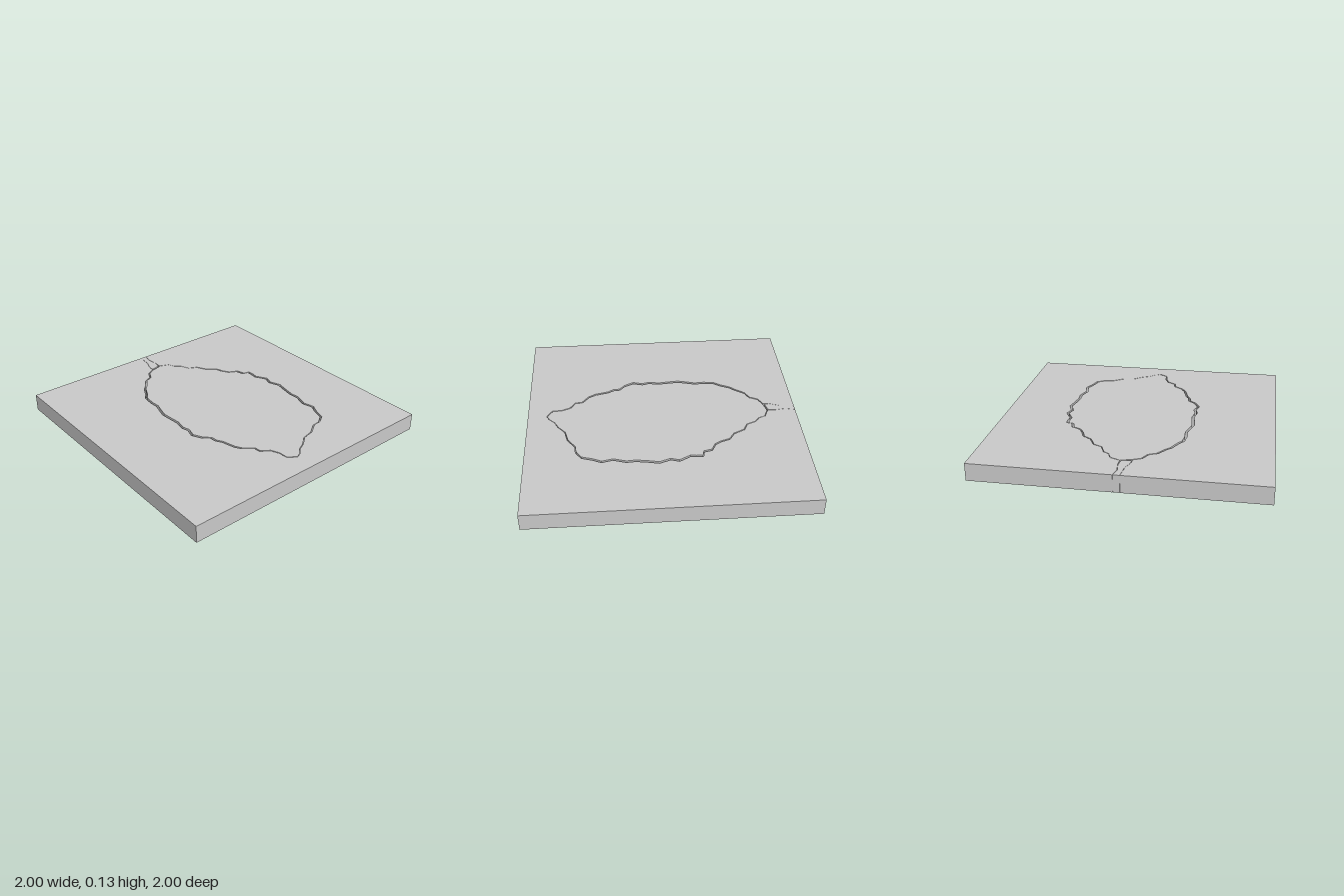
import * as THREE from 'three';

const HEIGHT = 0.126;

// Jagged fracture line seen from above as x, z pairs, one arc per shard.
const ARCS = [
  [-0.79, -0.01, -0.76, -0.08, -0.71, -0.1, -0.68, -0.14, -0.61, -0.17],
  [-0.58, -0.23, -0.5, -0.27, -0.46, -0.33, -0.4, -0.35, -0.35, -0.38, -0.32, -0.44, -0.26, -0.455, -0.25, -0.5],
  [-0.2, -0.5, -0.16, -0.495, -0.08, -0.54, -0.02, -0.52, 0.06, -0.55, 0.13, -0.535, 0.22, -0.52, 0.29, -0.525],
  [0.38, -0.495, 0.46, -0.515, 0.52, -0.485, 0.6, -0.46, 0.64, -0.4, 0.645, -0.34],
  [0.7, -0.26, 0.72, -0.17, 0.77, -0.11, 0.8, -0.05, 0.84, -0.01, 0.86, 0.03, 0.82, 0.09, 0.75, 0.095,
    0.69, 0.12, 0.65, 0.18, 0.6, 0.185, 0.55, 0.25],
  [0.5, 0.28, 0.4, 0.305, 0.36, 0.33, 0.31, 0.335, 0.27, 0.38, 0.2, 0.415, 0.13, 0.395, 0.08, 0.41, 0, 0.395],
  [-0.04, 0.4, -0.15, 0.41, -0.21, 0.395, -0.28, 0.375, -0.35, 0.38],
  [-0.43, 0.37, -0.47, 0.34, -0.55, 0.3, -0.58, 0.27, -0.65, 0.22, -0.68, 0.16, -0.74, 0.13, -0.77, 0.07],
].map((a) => a.reduce((pts, v, i) => (i % 2 ? pts : [...pts, [v, a[i + 1]]]), []));

// Junctions of the straight cracks inside the fracture line.
const P = [-0.565, -0.14], A = [-0.41, -0.065], S = [-0.265, 0.265];
const R = [-0.09, 0.29], Q = [0.27, -0.04], T = [0.35, -0.04];

// Inner corners that close each arc into a shard, from arc end back to arc start.
const INNER = [[P], [A, P], [T, Q], [T], [T], [R, Q, T], [S, R], [P, A, S]];

// Moves the fracture line in (s < 0) or out (s > 0), mostly along z, to open the gap.
const spread = (s) => ([x, z]) => [0.04 + (x - 0.04) * (1 + 0.003 * s), -0.07 + (z + 0.07) * (1 + 0.018 * s)];

function slabPiece(name, points, material) {
  const shape = new THREE.Shape(points.map(([x, z]) => new THREE.Vector2(x, -z)));
  const geometry = new THREE.ExtrudeGeometry(shape, { depth: HEIGHT, bevelEnabled: false });
  geometry.rotateX(-Math.PI / 2);
  const mesh = new THREE.Mesh(geometry, material);
  mesh.name = name;
  return mesh;
}

export function createModel() {
  const group = new THREE.Group();
  group.name = 'crackedSlab';
  const material = new THREE.MeshStandardMaterial({ color: 0xcccccc, flatShading: true });

  // Surrounding slab, cut through to the hole by the crack at the -x edge
  const rim = ARCS.flat().map(spread(1));
  const upperCrack = [[-0.85, -0.012], [-0.93, -0.001], [-1, -0.018]];
  const lowerCrack = [[-1, 0.03], [-0.94, 0.038], [-0.89, 0.042], [-0.82, 0.07]];
  group.add(slabPiece('outerSlab', [
    [-1, -1], [1, -1], [1, 1], [-1, 1], ...lowerCrack, ...[...rim].reverse(), ...upperCrack,
  ], material));

  // Sliver between the two edge cracks, a hairline clear of the slab
  const hairline = 0.002;
  group.add(slabPiece('edgeSliver', [
    ...upperCrack.map(([x, z]) => [x, z + hairline]),
    ...lowerCrack.map(([x, z]) => [x, z - hairline]),
    [-0.782, 0.068], [-0.795, 0],
  ], material));

  // Shards inside the fracture line
  const shards = new THREE.Group();
  shards.name = 'shards';
  ARCS.forEach((arc, i) => {
    const end = ARCS[(i + 1) % ARCS.length][0];
    const edge = [...arc, end].map(spread(-1));
    shards.add(slabPiece(`shard${i + 1}`, [...edge, ...INNER[i]], material));
  });

  // Central shard touching the rim only at its top corner
  shards.add(slabPiece('centralShard', [spread(-1)(ARCS[2][0]), Q, R, S, A], material));
  group.add(shards);
  return group;
}
